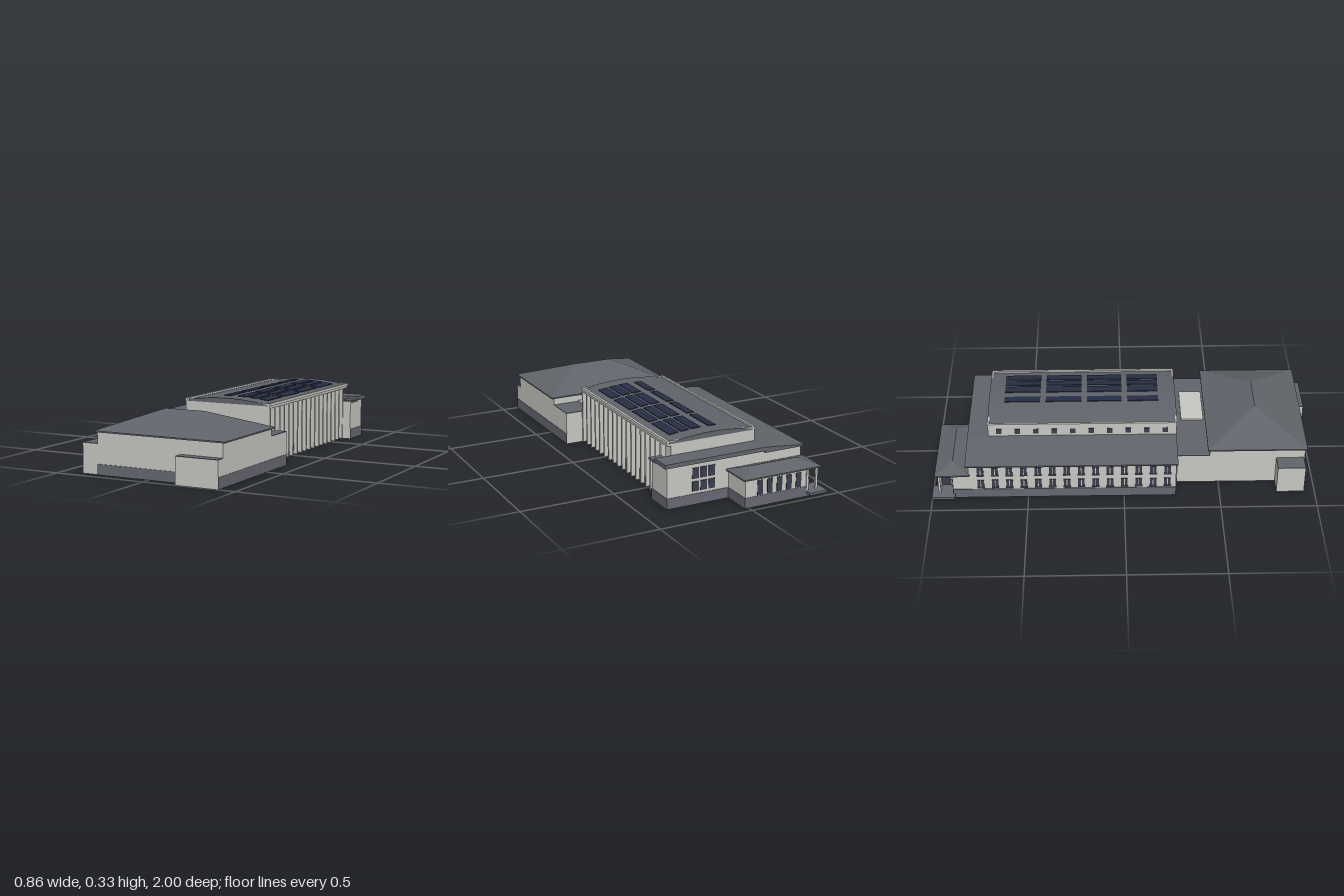
import * as THREE from 'three';

const mat = (name, color) => {
  const m = new THREE.MeshStandardMaterial({ color });
  m.name = name;
  return m;
};

export function createModel() {
  const model = new THREE.Group();
  const wall = mat('pale render', 0xc6c6c2);
  const roof = mat('slate roof', 0x60646a);
  const stone = mat('grey plinth', 0x666872);
  const glass = mat('dark glass', 0x3a3e4a);
  const solar = mat('solar navy', 0x262e44);

  const add = (name, geo, m, parent = model) => {
    const mesh = new THREE.Mesh(geo, m);
    mesh.name = name;
    parent.add(mesh);
    return mesh;
  };
  // Box given by its extents on each axis
  const box = (name, m, x0, x1, y0, y1, z0, z1, parent) => {
    const mesh = add(name, new THREE.BoxGeometry(x1 - x0, y1 - y0, z1 - z0), m, parent);
    mesh.position.set((x0 + x1) / 2, (y0 + y1) / 2, (z0 + z1) / 2);
    return mesh;
  };
  // Profile in x and y, extruded along z
  const prism = (name, m, pts, z0, z1) => {
    const shape = new THREE.Shape(pts.map(p => new THREE.Vector2(...p)));
    const geo = new THREE.ExtrudeGeometry(shape, { depth: z1 - z0, bevelEnabled: false });
    geo.translate(0, 0, z0);
    return add(name, geo, m);
  };
  // Hipped roof with its ridge along x, on a thin eaves slab
  const hipRoof = (name, x0, x1, z0, z1, y, top, r0, r1) => {
    const zr = (z0 + z1) / 2;
    const a = [x0, y, z1], b = [x1, y, z1], c = [x1, y, z0], d = [x0, y, z0];
    const e = [r0, top, zr], f = [r1, top, zr];
    const geo = new THREE.BufferGeometry();
    const tris = [a, b, f, a, f, e, b, c, f, c, d, e, c, e, f, d, a, e].flat();
    geo.setAttribute('position', new THREE.Float32BufferAttribute(tris, 3));
    geo.computeVertexNormals();
    add(name, geo, roof);
    box(name + 'Eaves', roof, x0, x1, y - 0.007, y, z0, z1);
  };

  // Front hall with hipped roof and two low side blocks
  box('frontHall', wall, -0.29, 0.41, 0, 0.215, 0.45, 0.95);
  hipRoof('frontHallRoof', -0.305, 0.425, 0.44, 0.96, 0.22, 0.316, -0.05, 0.17);
  box('frontPlinth', stone, -0.29, 0.18, 0.001, 0.055, 0.95, 0.953);
  box('frontBlock', wall, 0.18, 0.41, 0, 0.138, 0.95, 1);
  box('frontBlockRoof', roof, 0.18, 0.41, 0.138, 0.141, 0.95, 1);
  box('sideBlock', wall, -0.38, -0.29, 0, 0.153, 0.8, 0.945);
  box('sideBlockRoof', roof, -0.38, -0.29, 0.153, 0.156, 0.8, 0.945);
  box('frontSidePlinth', stone, 0.41, 0.412, 0.001, 0.058, 0.28, 1);

  // Low link between the halls
  box('link', wall, -0.29, 0.41, 0, 0.172, 0.28, 0.45);
  box('linkRoof', roof, -0.29, 0.41, 0.172, 0.176, 0.28, 0.45);
  box('linkRooflight', wall, 0.015, 0.27, 0.176, 0.186, 0.315, 0.435);

  // Main hall: body, parapet and gently arched roof
  box('mainHall', wall, -0.18, 0.29, 0, 0.302, -0.71, 0.28);
  box('mainFrieze', wall, 0.29, 0.312, 0.284, 0.302, -0.71, 0.28);
  for (const [x0, x1] of [[-0.182, -0.17], [0.302, 0.316]])
    box('parapetSide', wall, x0, x1, 0.296, 0.311, -0.712, 0.282);
  for (const z of [-0.712, 0.272])
    box('parapetEnd', wall, -0.182, 0.316, 0.296, 0.311, z, z + 0.01);
  const cx = 0.066, half = 0.236;
  const arcY = x => 0.302 + 0.022 * (1 - ((x - cx) / half) ** 2);
  const arc = [[cx + half, 0.296]];
  for (let i = 0; i <= 16; i++) {
    const x = cx + half - (2 * half * i) / 16;
    arc.push([x, arcY(x)]);
  }
  arc.push([cx - half, 0.296]);
  prism('mainRoof', roof, arc, -0.7125, 0.2825);

  // Solar panels lie along the arch
  const panels = new THREE.Group();
  panels.name = 'solarPanels';
  model.add(panels);
  for (const [x0, x1] of [[0, 0.042], [0.084, 0.136], [0.15, 0.194], [0.208, 0.258]])
    for (const [z0, z1] of [[-0.63, -0.44], [-0.41, -0.22], [-0.19, -0.005], [0.025, 0.19]]) {
      const x = (x0 + x1) / 2;
      const p = box('solarPanel', solar, x0, x1, 0, 0.004, z0, z1, panels);
      p.position.y = arcY(x) + 0.002;
      p.rotation.z = Math.atan((-0.044 * (x - cx)) / (half * half));
    }

  // Colonnade: tall window strips between slender piers
  const colonnade = new THREE.Group();
  colonnade.name = 'colonnade';
  model.add(colonnade);
  box('colonnadeBase', wall, 0.29, 0.3, 0, 0.004, -0.65, 0.28, colonnade);
  box('colonnadePlinth', stone, 0.29, 0.296, 0.004, 0.062, -0.65, 0.28, colonnade);
  const bays = 17, pitch = 0.92 / bays;
  for (let i = 0; i <= bays; i++) {
    const z = 0.275 - i * pitch;
    box('pier', wall, 0.29, 0.316, 0, 0.285, z - 0.006, z + 0.006, colonnade);
    if (i < bays) {
      const c = z - pitch / 2;
      box('windowStrip', stone, 0.29, 0.294, 0.062, 0.282, c - 0.011, c + 0.011, colonnade);
    }
  }
  box('darkPane', solar, 0.294, 0.297, 0.12, 0.28, -0.137, -0.117, colonnade);

  // Long side wing with a lean-to roof
  box('sideWing', wall, -0.395, -0.18, 0, 0.207, -0.805, 0.27);
  prism('sideWingRoof', roof, [[-0.41, 0.206], [-0.18, 0.206], [-0.18, 0.236], [-0.41, 0.213]], -0.82, 0.28);
  box('sideWingPlinth', stone, -0.398, -0.395, 0.001, 0.055, -0.805, 0.27);
  for (let i = 0; i < 14; i++) {
    const z = 0.225 - i * 0.0745;
    for (const [y0, y1] of [[0.07, 0.115], [0.148, 0.192]]) {
      box('wingWindow', glass, -0.399, -0.394, y0, y1, z - 0.017, z + 0.017);
      box('windowMullion', wall, -0.4, -0.394, y0, y1, z - 0.002, z + 0.002);
      box('windowSill', stone, -0.404, -0.394, y0 - 0.005, y0, z - 0.019, z + 0.019);
    }
  }
  // Clerestory windows above the wing
  for (let i = 0; i < 10; i++) {
    const z = 0.22 - i * 0.097;
    box('clerestoryWindow', glass, -0.183, -0.179, 0.25, 0.28, z - 0.014, z + 0.014);
  }

  // Rear wing across the back
  box('rearWing', wall, -0.18, 0.362, 0, 0.215, -0.805, -0.7);
  box('rearReturn', wall, 0.28, 0.362, 0, 0.211, -0.71, -0.645);
  box('rearWingRoof', roof, -0.18, 0.38, 0.215, 0.236, -0.82, -0.71);
  box('rearReturnRoof', roof, 0.312, 0.38, 0.21, 0.221, -0.715, -0.645);
  box('rearSidePlinth', stone, 0.362, 0.365, 0.001, 0.056, -0.805, -0.645);
  box('rearPlinth', stone, 0.025, 0.365, 0.001, 0.056, -0.808, -0.805);
  for (let i = 0; i < 3; i++)
    for (const [y0, y1] of [[0.07, 0.12], [0.135, 0.19]])
      box('rearWindow', glass, 0.1 + i * 0.045, 0.135 + i * 0.045, y0, y1, -0.809, -0.804);

  // Rear annex with an open corner porch
  box('annex', wall, -0.395, 0.022, 0, 0.147, -0.89, -0.8);
  box('annexRear', wall, -0.325, 0.022, 0, 0.147, -0.967, -0.89);
  hipRoof('annexRoof', -0.408, 0.036, -0.98, -0.8, 0.152, 0.184, -0.32, -0.05);
  box('annexPlinthRear', stone, -0.325, 0.024, 0.001, 0.055, -0.969, -0.967);
  box('annexPlinthSide', stone, 0.022, 0.024, 0.001, 0.055, -0.967, -0.805);
  box('annexPlinthWing', stone, -0.398, -0.395, 0.001, 0.055, -0.89, -0.805);
  for (let i = 0; i < 5; i++) {
    const x = -0.28 + i * 0.055;
    box('annexWindow', glass, x - 0.015, x + 0.015, 0.058, 0.135, -0.97, -0.966);
  }
  box('porchDoor', glass, -0.385, -0.34, 0.03, 0.125, -0.893, -0.889);
  box('porchSideWindow', glass, -0.328, -0.324, 0.03, 0.125, -0.955, -0.905);
  for (const [x, z] of [[-0.388, -0.96], [-0.335, -0.96]])
    box('porchPost', wall, x - 0.006, x + 0.006, 0.02, 0.147, z - 0.006, z + 0.006);
  box('porchFloor', stone, -0.398, -0.325, 0, 0.028, -0.967, -0.89);
  box('porchStep', stone, -0.43, -0.33, 0.015, 0.028, -1, -0.88);
  return model;
}
